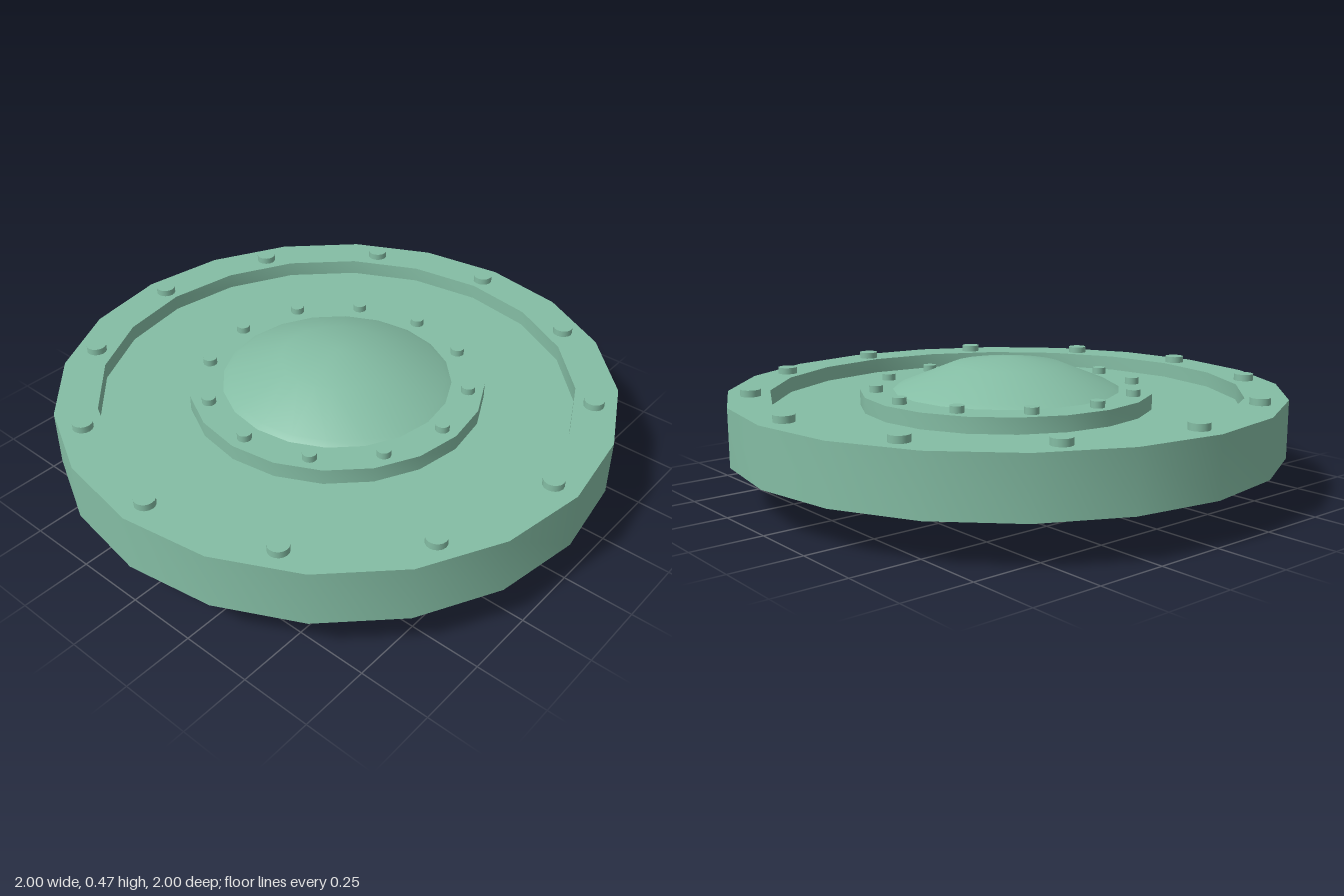
import * as THREE from 'three';
import { toCreasedNormals } from 'three/addons/utils/BufferGeometryUtils.js';

const SIDES = 20;
const FLOOR = 0.3, TOP = 0.356, BASE = 0.15;
const green = new THREE.MeshStandardMaterial({ color: 0x84bda4 });
const brown = new THREE.MeshStandardMaterial({ color: 0x9c8c80 });

function add(parent, name, geometry, material) {
  const mesh = new THREE.Mesh(geometry, material);
  mesh.name = name;
  parent.add(mesh);
  return mesh;
}

function lathe(points) {
  const profile = points.map(([r, y]) => new THREE.Vector2(r, y));
  return toCreasedNormals(new THREE.LatheGeometry(profile, SIDES), 0.6);
}

// Ring of twelve bolt heads standing on the top face
function boltRing(parent, name, ringRadius, boltRadius) {
  const height = 0.04;
  const geometry = new THREE.CylinderGeometry(boltRadius, boltRadius, height, 16);
  for (let i = 0; i < 12; i++) {
    const a = (i / 12) * Math.PI * 2;
    add(parent, name, geometry, green)
      .position.set(ringRadius * Math.sin(a), 0.38 - height / 2, ringRadius * Math.cos(a));
  }
}

// Handle: curved strap between two bolted tabs
function createHandle() {
  const handle = new THREE.Group();
  handle.name = 'handle';

  const outer = 0.227, inner = 0.197;
  const endOuter = Math.asin((outer - 0.12) / outer);
  const endInner = Math.asin((outer - BASE) / inner);
  const arch = new THREE.Shape();
  arch.absarc(0, outer, outer, Math.PI + endOuter, 2 * Math.PI - endOuter, false);
  arch.lineTo(0.2, BASE);
  arch.absarc(0, outer, inner, 2 * Math.PI - endInner, Math.PI + endInner, true);
  arch.lineTo(-0.2, BASE);
  arch.closePath();
  const strap = new THREE.ExtrudeGeometry(arch, { depth: 0.24, bevelEnabled: false, curveSegments: 14 });
  strap.translate(0, 0, -0.12);
  add(handle, 'handleStrap', toCreasedNormals(strap, 0.5), brown);

  const outline = [[0.195, -0.12], [0.34, -0.12], [0.415, -0.098], [0.462, -0.036],
    [0.462, 0.036], [0.415, 0.098], [0.34, 0.12], [0.195, 0.12]];
  const tabShape = new THREE.Shape(outline.map(([x, z]) => new THREE.Vector2(x, z)));
  const tab = new THREE.ExtrudeGeometry(tabShape, { depth: 0.03, bevelEnabled: false });
  tab.rotateX(Math.PI / 2).translate(0, BASE, 0);
  const bolt = new THREE.CylinderGeometry(0.02, 0.02, 0.03, 12);
  for (const turn of [0, Math.PI]) {
    const side = new THREE.Group();
    side.name = turn ? 'rightTab' : 'leftTab';
    side.rotation.y = turn;
    add(side, 'tabPlate', toCreasedNormals(tab, 0.5), brown);
    for (const z of [-0.035, 0.035]) add(side, 'tabBolt', bolt, brown).position.set(0.4, 0.12, z);
    handle.add(side);
  }
  return handle;
}

export function createModel() {
  const model = new THREE.Group();
  model.name = 'hatch';

  // Disc with a raised rim, sunken floor and raised inner ring
  add(model, 'disc', lathe([[0, BASE], [1, BASE], [1, TOP], [0.85, TOP], [0.85, FLOOR],
    [0.53, FLOOR], [0.53, TOP], [0, TOP]]), green);

  // Shallow dome
  add(model, 'dome', lathe([[0.415, TOP - 0.002], [0.39, 0.368], [0.2, 0.445], [0, 0.472]]), green);

  boltRing(model, 'rimBolt', 0.91, 0.036);
  boltRing(model, 'innerBolt', 0.472, 0.025);
  model.add(createHandle());
  return model;
}
